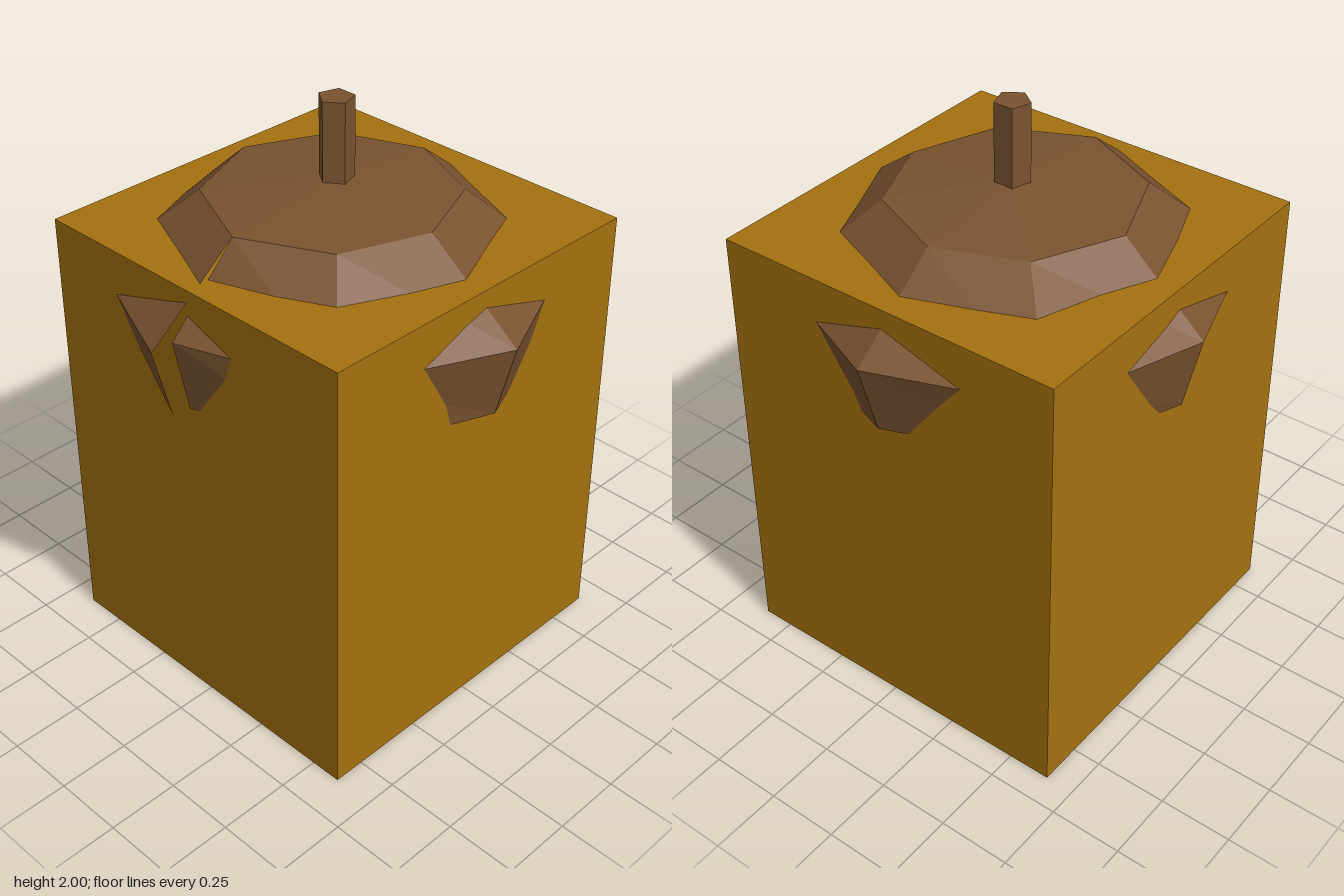
import * as THREE from 'three';

const CX = -0.02, CZ = -0.02;

// Faceted cap: rings of slightly uneven radii, open at the front seam
function capGeometry() {
  const apex = [CX, 1.735, CZ];
  const rings = [
    { y: 1.685, r: [0.44, 0.418, 0.405, 0.405, 0.41, 0.41, 0.425, 0.43, 0.44] },
    { y: 1.425, r: [0.695, 0.73, 0.755, 0.74, 0.74, 0.763, 0.72, 0.768, 0.775] },
    { y: 1.163, r: [0.64, 0.70, 0.685, 0.69, 0.665, 0.68, 0.66, 0.655, 0.705] },
  ];
  const point = (k, i) => {
    const a = (i * Math.PI) / 4;
    return [CX + rings[k].r[i] * Math.sin(a), rings[k].y, CZ + rings[k].r[i] * Math.cos(a)];
  };
  const pos = [];
  for (let i = 0; i < 8; i++) {
    pos.push(...apex, ...point(0, i), ...point(0, i + 1));
    for (let k = 0; k < 2; k++) {
      pos.push(...point(k, i), ...point(k + 1, i), ...point(k + 1, i + 1));
      pos.push(...point(k, i), ...point(k + 1, i + 1), ...point(k, i + 1));
    }
  }
  const geo = new THREE.BufferGeometry();
  geo.setAttribute('position', new THREE.Float32BufferAttribute(pos, 3));
  geo.computeVertexNormals();
  return geo;
}

export function createModel() {
  const group = new THREE.Group();
  const ochre = new THREE.MeshStandardMaterial({ color: 0xa4710f });
  ochre.name = 'ochre';
  const brown = new THREE.MeshStandardMaterial({ color: 0x7a5330, flatShading: true, side: THREE.DoubleSide });
  brown.name = 'brown';

  const add = (name, geo, mat, x, y, z) => {
    const mesh = new THREE.Mesh(geo, mat);
    mesh.name = name;
    mesh.position.set(x, y, z);
    group.add(mesh);
  };

  // Block body
  add('body', new THREE.BoxGeometry(1.26, 1.58, 1.26), ochre, CX, 0.79, CZ);
  // Cap passing through the block
  add('cap', capGeometry(), brown, 0, 0, 0);
  // Five-sided stem with a corner to the front
  add('stem', new THREE.CylinderGeometry(0.06, 0.06, 0.3, 5), brown, CX, 1.85, CZ);
  return group;
}
